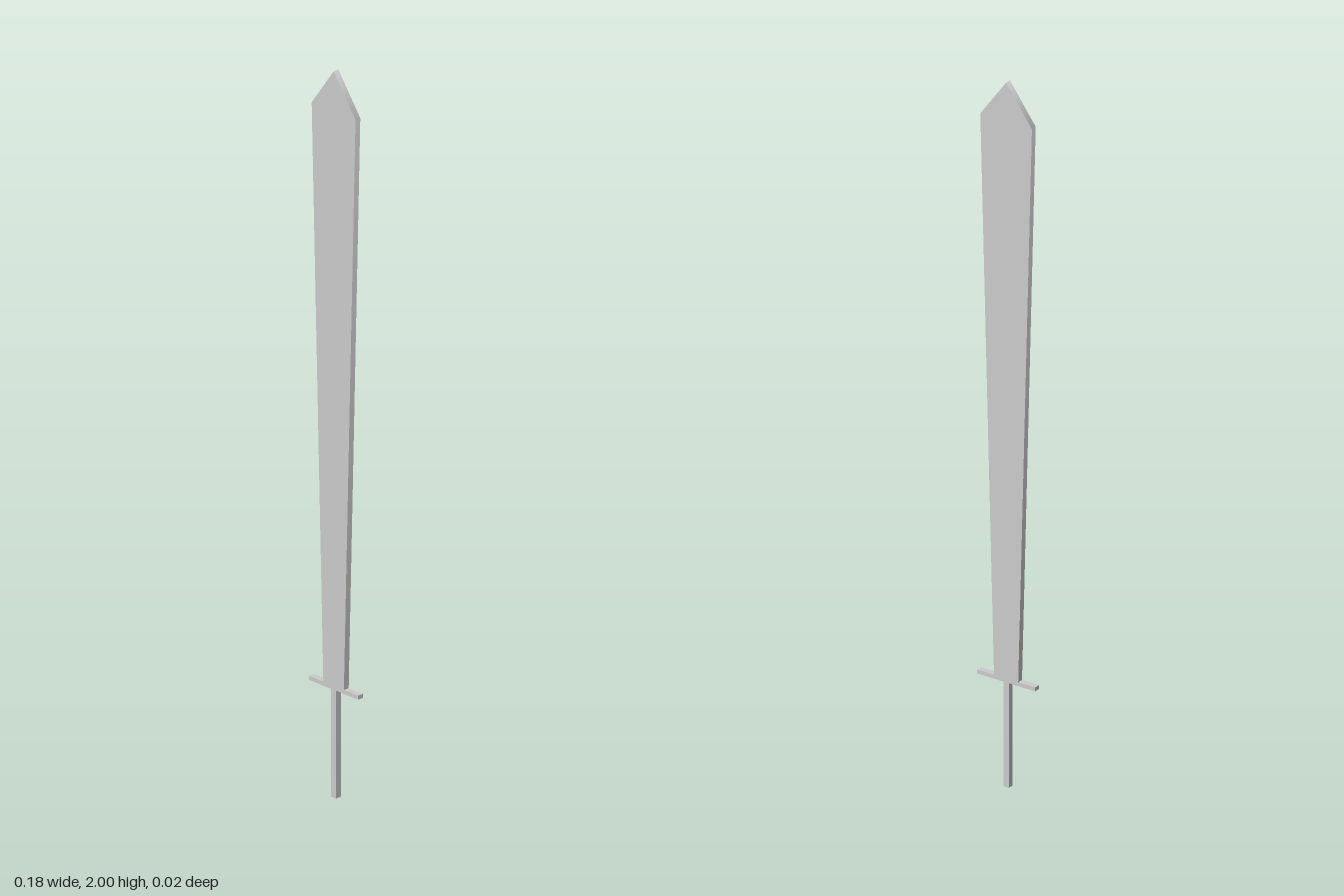
import * as THREE from 'three';

const DEPTH = 0.017;
const material = new THREE.MeshStandardMaterial({ color: 0xcccccc });

function bar(name, width, y0, y1) {
  const mesh = new THREE.Mesh(new THREE.BoxGeometry(width, y1 - y0, DEPTH), material);
  mesh.position.y = (y0 + y1) / 2;
  mesh.name = name;
  return mesh;
}

// Blend the normals of the narrow rim around the blade; the flat faces stay crisp
function smoothRim(geometry) {
  const pos = geometry.attributes.position, nor = geometry.attributes.normal;
  const sums = new Map();
  const n = new THREE.Vector3();
  const key = i => `${pos.getX(i).toFixed(3)},${pos.getY(i).toFixed(3)}`;
  const onRim = i => Math.abs(nor.getZ(i)) < 0.5 && nor.getY(i) > -0.9;
  for (let i = 0; i < pos.count; i++) {
    if (!onRim(i)) continue;
    if (!sums.has(key(i))) sums.set(key(i), new THREE.Vector3());
    sums.get(key(i)).add(n.fromBufferAttribute(nor, i));
  }
  for (let i = 0; i < pos.count; i++) {
    if (!onRim(i)) continue;
    n.copy(sums.get(key(i))).normalize();
    nor.setXYZ(i, n.x, n.y, n.z);
  }
  return geometry;
}

export function createModel() {
  const sword = new THREE.Group();
  sword.name = 'sword';

  // Blade widens from the guard to the shoulders, then comes to a point
  const outline = new THREE.Shape([
    [-0.037, 0.305], [0.037, 0.305], [0.079, 1.89], [0, 2], [-0.079, 1.89],
  ].map(([x, y]) => new THREE.Vector2(x, y)));
  const geometry = new THREE.ExtrudeGeometry(outline, { depth: DEPTH, bevelEnabled: false });
  geometry.translate(0, 0, -DEPTH / 2);
  const blade = new THREE.Mesh(smoothRim(geometry), material);
  blade.name = 'blade';

  // Crossguard and plain square grip
  sword.add(blade, bar('crossguard', 0.177, 0.297, 0.308), bar('grip', 0.017, 0, 0.298));
  return sword;
}
